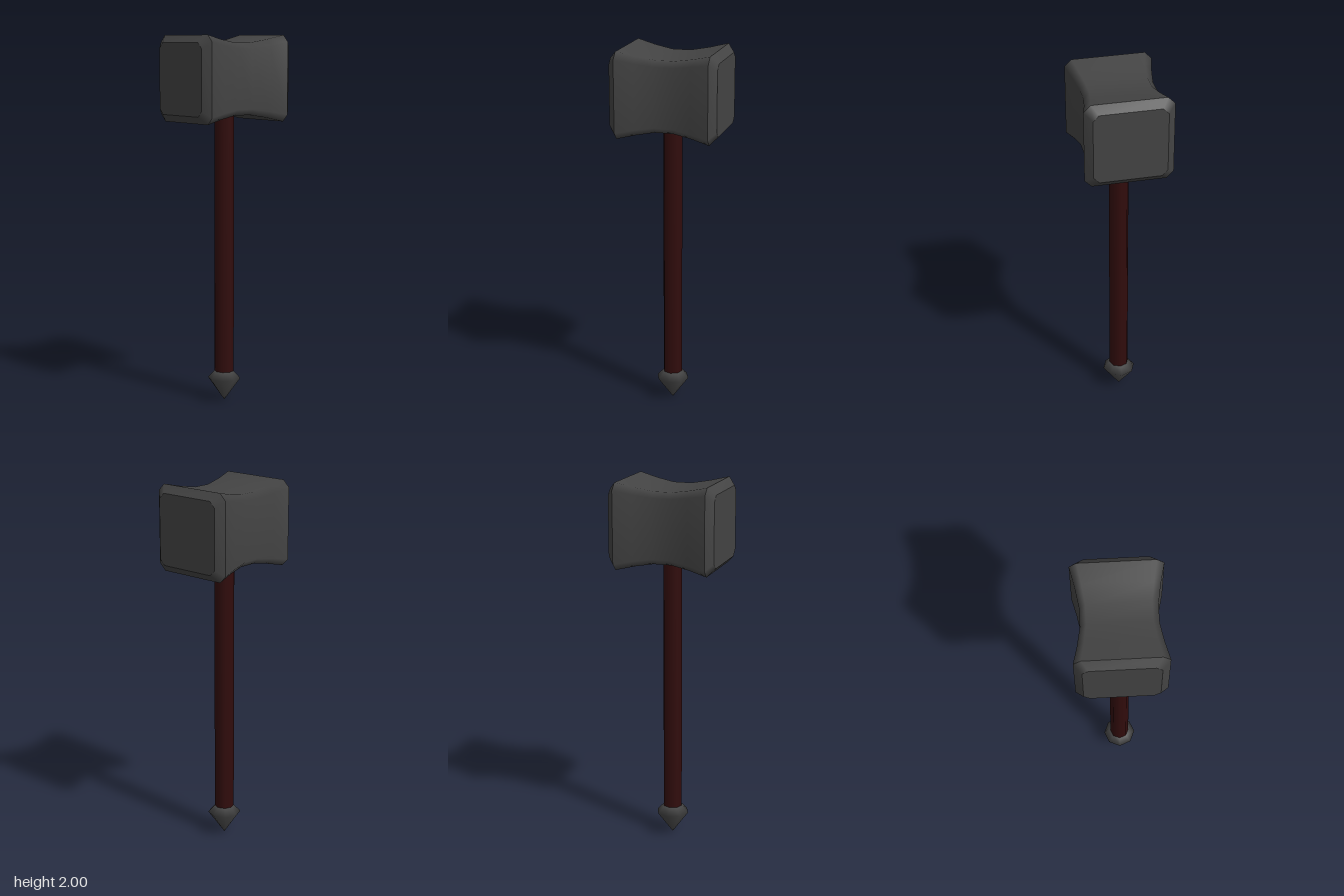
import * as THREE from 'three';

// Square outline with cut corners, half-width h, counter-clockwise seen from +z
function outline(h) {
  const c = h * 0.84;
  return [[h, -c], [h, c], [c, h], [-c, h], [-h, c], [-h, -c], [-c, -h], [c, -h]];
}

// Smooth skin through [z, halfWidth] sections ordered from back to front
function loft(sections) {
  const pos = [], idx = [], n = 8;
  for (const [z, h] of sections) for (const [x, y] of outline(h)) pos.push(x, y, z);
  for (let s = 0; s < sections.length - 1; s++) {
    for (let i = 0; i < n; i++) {
      const a = s * n + i, b = s * n + (i + 1) % n;
      idx.push(a, b, b + n, a, b + n, a + n);
    }
  }
  const g = new THREE.BufferGeometry();
  g.setAttribute('position', new THREE.Float32BufferAttribute(pos, 3));
  g.setIndex(idx);
  g.computeVertexNormals();
  return g;
}

export function createModel() {
  const iron = new THREE.MeshStandardMaterial({ color: 0x444444 });
  iron.name = 'dark iron';
  const wood = new THREE.MeshStandardMaterial({ color: 0x310c0c });
  wood.name = 'dark red wood';

  const model = new THREE.Group();
  model.name = 'hammer';
  const add = (parent, name, geometry, material, y = 0) => {
    const mesh = new THREE.Mesh(geometry, material);
    mesh.name = name;
    mesh.position.y = y;
    parent.add(mesh);
    return mesh;
  };

  // Head with a pinched waist
  const head = new THREE.Group();
  head.name = 'head';
  head.position.y = 1.77;
  model.add(head);
  add(head, 'headBody', loft([
    [-0.25, 0.23], [-0.15, 0.207], [-0.05, 0.19],
    [0.05, 0.19], [0.15, 0.207], [0.25, 0.23],
  ]), iron);

  // Bevelled striking face at both ends
  const faceShape = new THREE.Shape(outline(0.19).map(([x, y]) => new THREE.Vector2(x, y)));
  for (const [side, turn] of [['front', 0], ['back', Math.PI]]) {
    const end = new THREE.Group();
    end.name = side + 'End';
    end.rotation.y = turn;
    head.add(end);
    add(end, side + 'Bevel', loft([[0.25, 0.23], [0.288, 0.19]]), iron);
    add(end, side + 'Face', new THREE.ShapeGeometry(faceShape), iron).position.z = 0.288;
  }

  // Eight-sided shaft
  add(model, 'handle', new THREE.CylinderGeometry(0.053, 0.053, 1.46, 8), wood, 0.88);

  // Pointed pommel
  const profile = [[0, 0], [0.09, 0.125], [0.053, 0.165], [0, 0.165]];
  add(model, 'pommel', new THREE.LatheGeometry(
    profile.map(([r, y]) => new THREE.Vector2(r, y)), 8), iron);

  return model;
}
